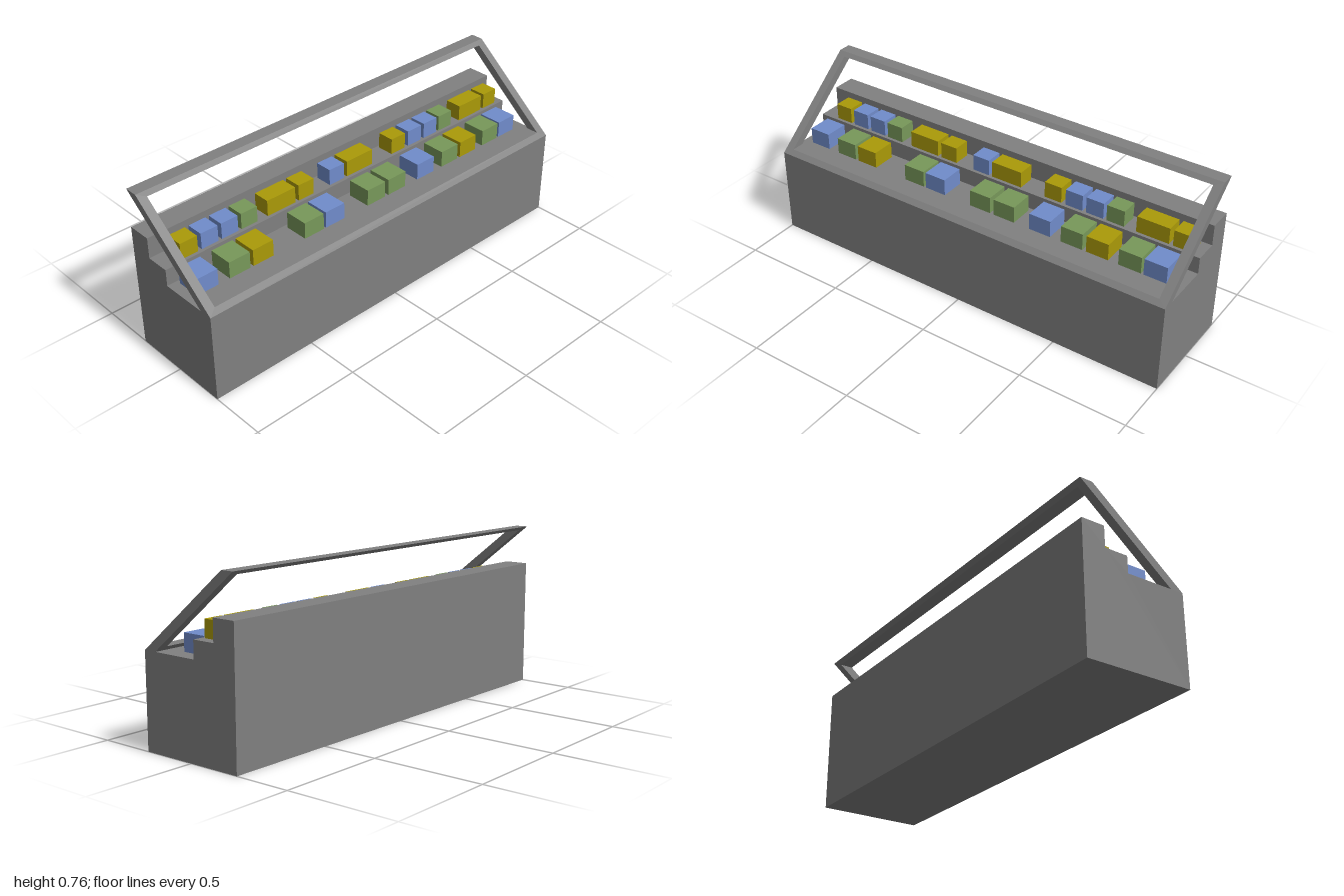
import * as THREE from 'three';

const material = (color) => new THREE.MeshStandardMaterial({ color });

function polygon(points) {
  return new THREE.Shape(points.map(([x, y]) => new THREE.Vector2(x, y)));
}

function rectangle(halfWidth, bottom, top) {
  return [[-halfWidth, bottom], [halfWidth, bottom], [halfWidth, top], [-halfWidth, top]];
}

export function createModel() {
  const model = new THREE.Group();
  const grey = material(0x808080);
  const add = (geometry, mat, name, parent = model) => {
    const mesh = new THREE.Mesh(geometry, mat);
    mesh.name = name;
    parent.add(mesh);
    return mesh;
  };

  // Stepped cabinet: side profile drawn as (-z, y), extruded along x
  const profile = polygon([
    [-0.247, 0], [0.247, 0], [0.247, 0.585], [0.138, 0.585],
    [0.138, 0.489], [0.03, 0.489], [0.03, 0.412], [-0.247, 0.412],
  ]);
  const cabinet = new THREE.ExtrudeGeometry(profile, { depth: 2, bevelEnabled: false });
  cabinet.translate(0, 0, -1).rotateY(Math.PI / 2);
  add(cabinet, grey, 'steppedCabinet');

  // Slanted open frame: an upright frame sheared backwards as it rises
  const outline = polygon(rectangle(1, 0.412, 0.765));
  outline.holes.push(polygon(rectangle(0.96, 0.431, 0.749)));
  const frame = new THREE.ExtrudeGeometry(outline, { depth: 0.06, bevelEnabled: false });
  const pos = frame.attributes.position;
  for (let i = 0; i < pos.count; i++) {
    pos.setZ(i, pos.getZ(i) + 0.187 - (pos.getY(i) - 0.412) * (0.434 / 0.353));
  }
  frame.computeVertexNormals();
  add(frame, grey, 'slantedFrame');

  // Goods on the two shelves: [colour, centre x, optional width]
  const colors = {
    blue: material(0x708ccb),
    green: material(0x78985a),
    yellow: material(0xaa9a08),
  };
  const rows = [
    {
      name: 'backRow', width: 0.084, height: 0.075, depth: 0.08, y: 0.489, z: -0.085,
      items: [
        ['yellow', -0.872], ['blue', -0.77], ['blue', -0.668], ['green', -0.567],
        ['yellow', -0.394, 0.152], ['yellow', -0.257], ['blue', -0.08],
        ['yellow', 0.056, 0.152], ['yellow', 0.296], ['blue', 0.401], ['blue', 0.503],
        ['green', 0.602], ['yellow', 0.777, 0.152], ['yellow', 0.913],
      ],
    },
    {
      name: 'frontRow', width: 0.105, height: 0.077, depth: 0.112, y: 0.412, z: 0.045,
      items: [
        ['blue', -0.9], ['green', -0.738], ['yellow', -0.617], ['green', -0.342],
        ['blue', -0.225], ['green', 0.018], ['green', 0.143], ['blue', 0.325],
        ['green', 0.483], ['yellow', 0.606], ['green', 0.759], ['blue', 0.875],
      ],
    },
  ];
  for (const row of rows) {
    const group = new THREE.Group();
    group.name = row.name;
    model.add(group);
    for (const [color, x, width = row.width] of row.items) {
      const box = new THREE.BoxGeometry(width, row.height, row.depth);
      add(box, colors[color], `${color}Block`, group)
        .position.set(x, row.y + row.height / 2, row.z);
    }
  }

  return model;
}
